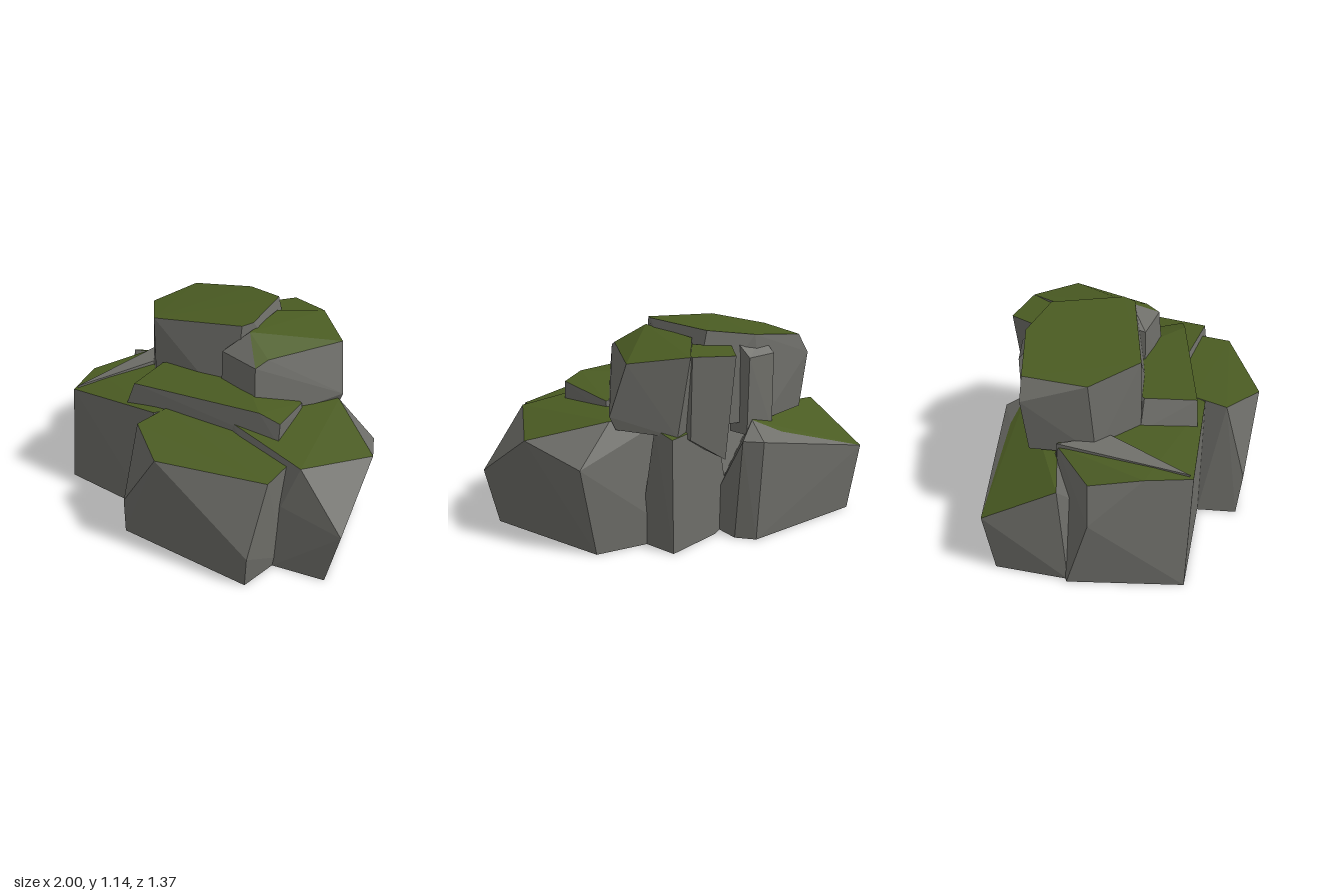
import * as THREE from 'three';
import { ConvexGeometry } from 'three/addons/geometries/ConvexGeometry.js';

const stone = new THREE.MeshStandardMaterial({ color: 0x6e6e69 });
stone.name = 'grey stone';
const moss = new THREE.MeshStandardMaterial({ color: 0x4a5b22 });
moss.name = 'green moss';

// A faceted boulder from its corners; faces that look upward carry moss
function boulder(name, corners, mossLimit = 0.8) {
  const hull = new ConvexGeometry(corners.map((c) => new THREE.Vector3(...c)));
  const pos = hull.getAttribute('position');
  const sides = [], tops = [];
  const tri = new THREE.Triangle(), n = new THREE.Vector3();
  for (let i = 0; i < pos.count; i += 3) {
    tri.setFromAttributeAndIndices(pos, i, i + 1, i + 2);
    tri.getNormal(n);
    const list = n.y > mossLimit ? tops : sides;
    for (const v of [tri.a, tri.b, tri.c]) list.push(v.x, v.y, v.z);
  }
  const geometry = new THREE.BufferGeometry();
  geometry.setAttribute('position', new THREE.Float32BufferAttribute([...sides, ...tops], 3));
  geometry.addGroup(0, sides.length / 3, 0);
  geometry.addGroup(sides.length / 3, tops.length / 3, 1);
  geometry.computeVertexNormals();
  const mesh = new THREE.Mesh(geometry, [stone, moss]);
  mesh.name = name;
  return mesh;
}

export function createModel() {
  const group = new THREE.Group();
  group.name = 'mossyRocks';
  group.add(
    // Ground boulders
    boulder('frontBoulder', [
      [-0.12, 0.69, 0.55], [0.15, 0.64, 0.68], [0.68, 0.61, 0.40], [0.66, 0.63, 0.22], [-0.1, 0.71, 0.36],
      [0.1, 0.7, 0.2], [-0.13, 0.24, 0.67], [0.67, 0.2, 0.54],
      [-0.2, 0, 0.43], [-0.16, 0, 0.645], [0.64, 0, 0.52], [0.64, 0, 0.2], [-0.15, 0, 0.2],
    ]),
    boulder('sideBoulder', [
      [-0.71, 0.65, 0.51], [-0.8, 0.66, 0.28], [-0.85, 0.6, 0], [-0.68, 0.68, -0.22],
      [-0.12, 0.705, 0.43], [0.2, 0.69, -0.3], [-0.93, 0.4, 0.02],
      [-0.8, 0, 0.5], [-0.95, 0, -0.1], [-0.2, 0, 0.43], [0.2, 0, -0.3], [-0.5, 0, -0.4],
    ]),
    // Bare stone spur breaking through the moss
    boulder('stoneSpur', [
      [-0.7, 0.665, 0.49], [-0.69, 0.7, -0.22], [-0.55, 0.705, 0.03],
      [-0.7, 0.6, 0.48], [-0.69, 0.6, -0.22], [-0.55, 0.6, 0.03],
    ], 1.1),
    boulder('backCornerBoulder', [
      [-1, 0.38, -0.53], [-0.25, 0.55, -0.685], [-0.92, 0.58, -0.14], [-0.45, 0.63, -0.3], [-0.25, 0.64, -0.56],
      [-0.42, 0.56, -0.59], [-0.16, 0.55, -0.62],
      [-0.95, 0, -0.5], [-0.23, 0, -0.665], [-0.14, 0, -0.59], [-0.93, 0, -0.1], [-0.1, 0, -0.3], [-0.4, 0, 0],
    ]),
    boulder('rightBoulder', [
      [0.27, 0.72, 0.23], [0.75, 0.65, 0.23], [0.89, 0.585, -0.2], [0.5, 0.69, -0.4], [0.1, 0.7, -0.4],
      [0.7, 0.48, -0.48], [1, 0.32, 0.19], [0.67, 0.4, 0.28],
      [0.92, 0, 0.2], [0.64, 0, 0.3], [0.61, 0, -0.46], [0.1, 0, -0.45], [-0.2, 0, 0.25],
    ]),
    boulder('backSlab', [
      [-0.07, 0.64, -0.5], [0.26, 0.62, -0.63], [0.31, 0.66, -0.53], [-0.1, 0.66, -0.42],
      [-0.07, 0, -0.5], [0.25, 0, -0.63], [0.34, 0, -0.4], [-0.25, 0, -0.35],
    ]),
    // Middle terrace
    boulder('terrace', [
      [-0.34, 0.82, 0.15], [-0.28, 0.82, 0.42], [0.42, 0.82, 0.18], [0.53, 0.78, 0.14], [0.42, 0.73, -0.17],
      [0.2, 0.82, 0.02], [-0.1, 0.82, -0.2],
      [-0.42, 0.66, 0.15], [-0.34, 0.66, 0.44], [0.53, 0.66, 0.15], [0.42, 0.66, -0.18], [-0.1, 0.66, -0.3],
    ]),
    // Upper boulders
    boulder('topBoulder', [
      [-0.63, 1.04, -0.41], [-0.63, 1.04, -0.06], [-0.4, 1.08, 0.15], [0.1, 1.135, -0.03], [0.12, 1.14, -0.1],
      [-0.02, 1.125, -0.47], [-0.28, 1.09, -0.52], [-0.7, 0.93, -0.4],
      [-0.67, 0.62, -0.38], [-0.62, 0.62, -0.03], [-0.4, 0.62, 0.15], [0.1, 0.62, 0.04],
      [0.1, 0.62, -0.5], [-0.35, 0.62, -0.52],
    ]),
    boulder('topRightBoulder', [
      [0.03, 0.99, 0.05], [0.28, 0.98, 0.06], [0.3, 1.01, -0.02], [0.44, 1.0, -0.48], [0.17, 1.04, -0.65],
      [0.13, 1.1, -0.06], [0.03, 1.08, -0.4], [0.51, 0.72, -0.42],
      [0.02, 0.65, 0.05], [0.3, 0.65, 0.08], [0.48, 0.65, -0.43], [0.22, 0.62, -0.61], [0.03, 0.62, -0.5],
    ]),
    boulder('topBackSlab', [
      [0.16, 1.04, -0.65], [-0.07, 1.03, -0.685], [-0.15, 1.04, -0.5], [0.15, 1.06, -0.4],
      [0.15, 0.6, -0.62], [-0.05, 0.47, -0.63], [-0.14, 0.55, -0.45], [0.15, 0.58, -0.4],
    ]),
    boulder('topBackWedge', [
      [-0.4, 0.98, -0.52], [-0.22, 0.98, -0.57], [-0.18, 1.07, -0.48], [-0.36, 1.06, -0.46],
      [-0.4, 0.56, -0.52], [-0.22, 0.56, -0.56], [-0.18, 0.56, -0.45], [-0.36, 0.56, -0.45],
    ]),
  );
  return group;
}
